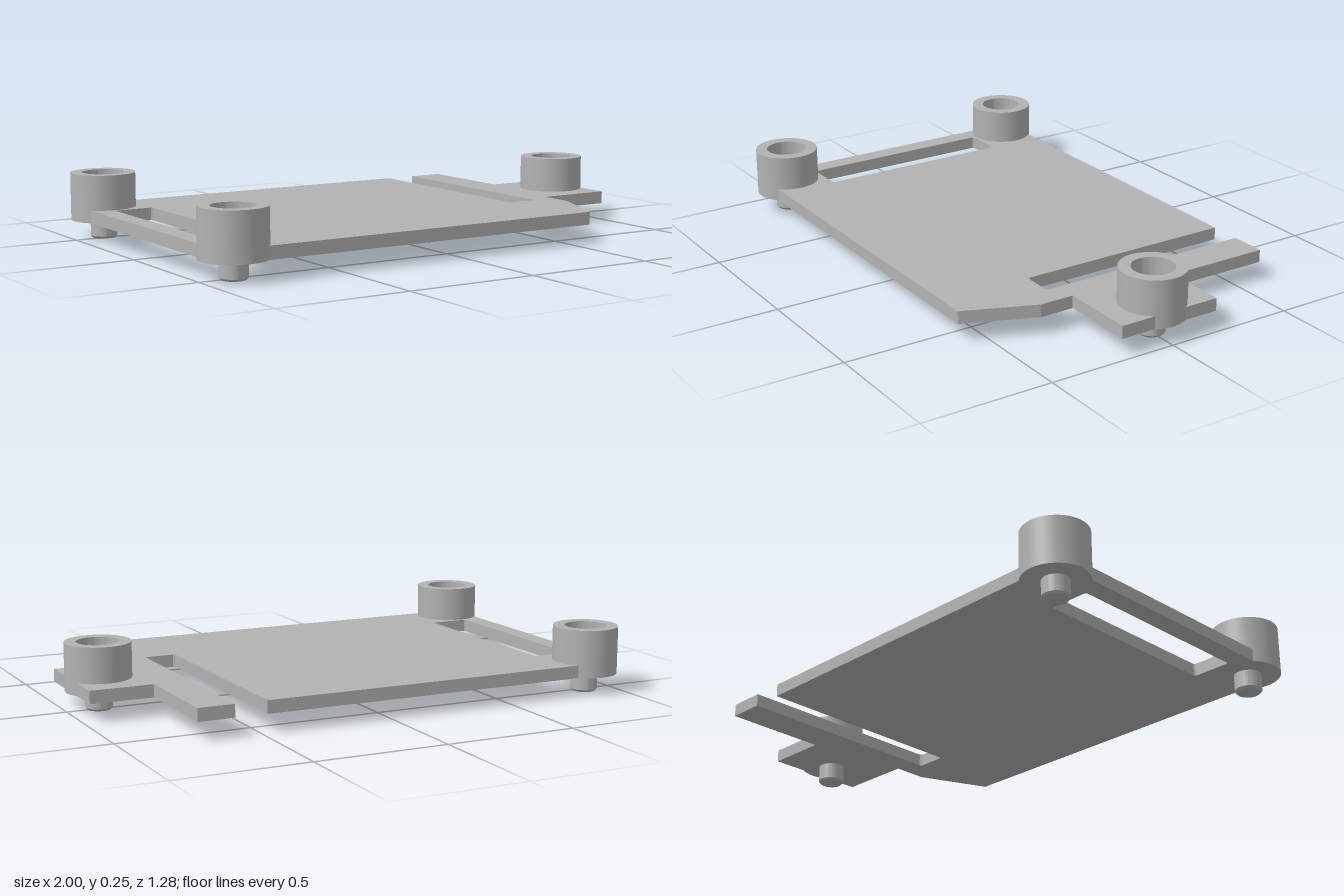
import * as THREE from 'three';
import { toCreasedNormals } from 'three/addons/utils/BufferGeometryUtils.js';

const BASE = 0.07, TOP = 0.118;

// Plate outline points are given as (x, z)
const points = list => list.map(([x, z]) => new THREE.Vector2(x, -z));

export function createModel() {
  const model = new THREE.Group();
  const grey = new THREE.MeshStandardMaterial({ color: 0xb2b2b2 });
  grey.name = 'plain grey';

  // Flat plate with a deep open slot, a side tab and a cut front corner
  const outline = new THREE.Shape(points([
    [-0.967, 0.59], [-0.957, 0.602], [0.58, 0.602], [0.69, 0.335], [0.69, 0.202],
    [0.98, 0.202], [0.98, -0.202], [0.74, -0.202], [0.74, -0.605], [0.602, -0.605],
    [0.602, 0.242], [0.594, 0.25], [0.49, 0.25], [0.482, 0.242], [0.482, -0.605],
    [-0.957, -0.605], [-0.967, -0.593],
  ]));
  // Closed slot beside the left pair of sockets
  outline.holes.push(new THREE.Path(points([
    [-0.892, -0.38], [-0.887, -0.385], [-0.744, -0.385], [-0.739, -0.38],
    [-0.739, 0.376], [-0.744, 0.381], [-0.887, 0.381], [-0.892, 0.376],
  ])));
  const plateGeometry = new THREE.ExtrudeGeometry(outline, { depth: TOP - BASE, bevelEnabled: false });
  plateGeometry.rotateX(-Math.PI / 2);
  plateGeometry.translate(0, BASE, 0);
  const plate = new THREE.Mesh(plateGeometry, grey);
  plate.name = 'basePlate';
  model.add(plate);

  // Round socket with a blind bore above and a chamfered locating pin below
  const profile = [
    [0, 0], [0.043, 0], [0.05, 0.008], [0.05, BASE], [0.122, BASE],
    [0.122, 0.25], [0.078, 0.25], [0.078, 0.12], [0, 0.12],
  ].map(([r, y]) => new THREE.Vector2(r, y));
  const socketGeometry = toCreasedNormals(new THREE.LatheGeometry(profile, 64), 0.5);

  const sockets = [
    ['backSocket', -0.878, -0.518],
    ['frontSocket', -0.878, 0.515],
    ['tabSocket', 0.877, 0],
  ];
  for (const [name, x, z] of sockets) {
    const socket = new THREE.Mesh(socketGeometry, grey);
    socket.name = name;
    socket.position.set(x, 0, z);
    model.add(socket);
  }
  return model;
}
